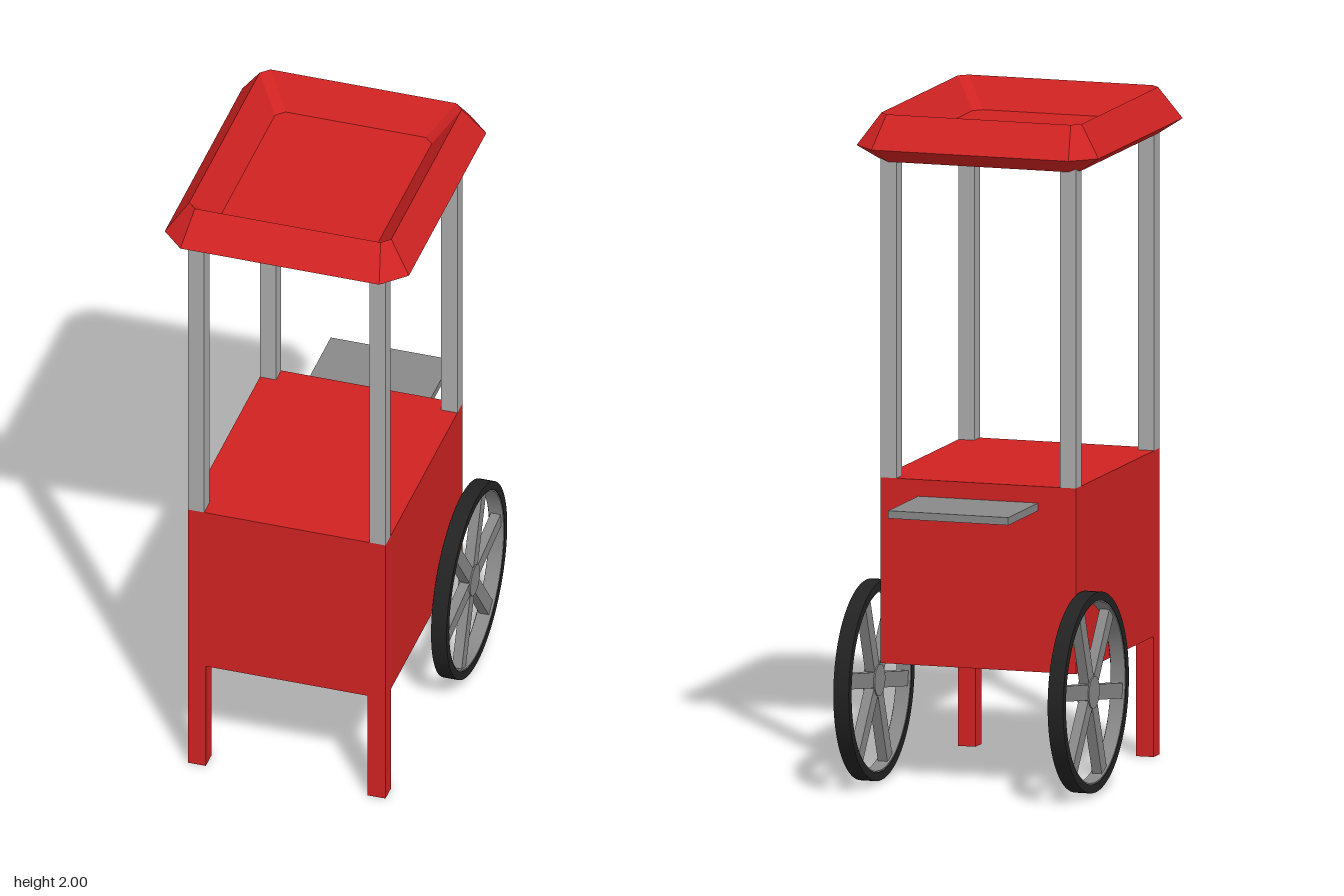
import * as THREE from 'three';
import { toCreasedNormals } from 'three/addons/utils/BufferGeometryUtils.js';

const mat = (name, color) => {
  const m = new THREE.MeshStandardMaterial({ color });
  m.name = name;
  return m;
};

// Box given by its min/max extents on each axis
function block(name, material, [x0, x1], [y0, y1], [z0, z1]) {
  const mesh = new THREE.Mesh(new THREE.BoxGeometry(x1 - x0, y1 - y0, z1 - z0), material);
  mesh.position.set((x0 + x1) / 2, (y0 + y1) / 2, (z0 + z1) / 2);
  mesh.name = name;
  return mesh;
}

// Rectangle with cut corners, counter-clockwise seen from above
function cutRectangle([y, hx, zBack, zFront, c]) {
  return [
    [hx, zFront - c], [hx, zBack + c], [hx - c, zBack], [-hx + c, zBack],
    [-hx, zBack + c], [-hx, zFront - c], [-hx + c, zFront], [hx - c, zFront],
  ].map(([x, z]) => [x, y, z]);
}

// Bevelled canopy with a sunken top, lofted through cut rectangles
function canopyGeometry() {
  const rings = [
    [1.86, 0.31, -0.28, 0.48, 0.03],
    [1.905, 0.377, -0.352, 0.549, 0.07],
    [2.0, 0.312, -0.272, 0.47, 0.025],
    [1.91, 0.242, -0.2, 0.4, 0.025],
  ].map(cutRectangle);
  const n = 8;
  const index = [];
  for (let r = 0; r < rings.length - 1; r++) {
    for (let i = 0; i < n; i++) {
      const a = r * n + i, b = r * n + (i + 1) % n;
      index.push(a, b, b + n, a, b + n, a + n);
    }
  }
  // Underside and recessed floor
  const top = (rings.length - 1) * n;
  for (let i = 1; i < n - 1; i++) {
    index.push(0, i + 1, i, top, top + i, top + i + 1);
  }
  const indexed = new THREE.BufferGeometry();
  indexed.setAttribute('position', new THREE.Float32BufferAttribute(rings.flat(2), 3));
  indexed.setIndex(index);
  const geometry = indexed.toNonIndexed();
  geometry.computeVertexNormals();
  return geometry;
}

// Flat ring centred on z = 0
function ringGeometry(outer, inner, width) {
  const shape = new THREE.Shape().absarc(0, 0, outer, 0, Math.PI * 2);
  shape.holes.push(new THREE.Path().absarc(0, 0, inner, 0, Math.PI * 2, true));
  const geometry = new THREE.ExtrudeGeometry(shape, { depth: width, bevelEnabled: false, curveSegments: 48 });
  geometry.translate(0, 0, -width / 2);
  return toCreasedNormals(geometry, 0.6);
}

function createWheel(rubber, metal) {
  const wheel = new THREE.Group();
  const add = (name, geometry, material) => {
    const mesh = new THREE.Mesh(geometry, material);
    mesh.name = name;
    wheel.add(mesh);
    return mesh;
  };
  add('tire', ringGeometry(0.298, 0.272, 0.048), rubber);
  add('rim', ringGeometry(0.273, 0.268, 0.044), metal);
  for (let i = 0; i < 6; i++) {
    const spoke = new THREE.BoxGeometry(0.27, 0.046, 0.03);
    spoke.translate(0.135, 0, 0);
    add('spoke', spoke, metal).rotation.z = THREE.MathUtils.degToRad(8 + 60 * i);
  }
  const hub = new THREE.CylinderGeometry(0.048, 0.048, 0.038, 24);
  hub.rotateX(Math.PI / 2);
  add('hub', hub, metal);
  return wheel;
}

export function createModel() {
  const red = mat('red paint', 0xd02222);
  const post = mat('light grey metal', 0xaaaaaa);
  const metal = mat('grey metal', 0x888888);
  const rubber = mat('black rubber', 0x222222);

  const cart = new THREE.Group();
  cart.name = 'vendorCart';

  // Cabinet and rear shelf
  cart.add(block('cabinet', red, [-0.305, 0.305], [0.36, 0.915], [-0.277, 0.48]));
  cart.add(block('rearShelf', metal, [-0.187, 0.187], [0.842, 0.865], [-0.548, -0.277]));

  // Canopy
  const canopy = new THREE.Mesh(canopyGeometry(), red);
  canopy.name = 'canopy';
  cart.add(canopy);

  for (const side of [-1, 1]) {
    const name = side > 0 ? 'left' : 'right';
    const span = (a, b) => (side > 0 ? [a, b] : [-b, -a]);

    // Front leg and canopy posts
    cart.add(block(name + 'FrontLeg', red, span(0.25, 0.305), [0, 0.36], [0.425, 0.48]));
    cart.add(block(name + 'FrontPost', post, span(0.255, 0.305), [0.915, 1.87], [0.43, 0.48]));
    cart.add(block(name + 'RearPost', post, span(0.255, 0.305), [0.915, 1.87], [-0.277, -0.227]));

    // Rear wheel
    const wheel = createWheel(rubber, metal);
    wheel.name = name + 'Wheel';
    wheel.rotation.y = Math.PI / 2;
    wheel.position.set(side * 0.334, 0.304, -0.25);
    cart.add(wheel);
  }
  return cart;
}
